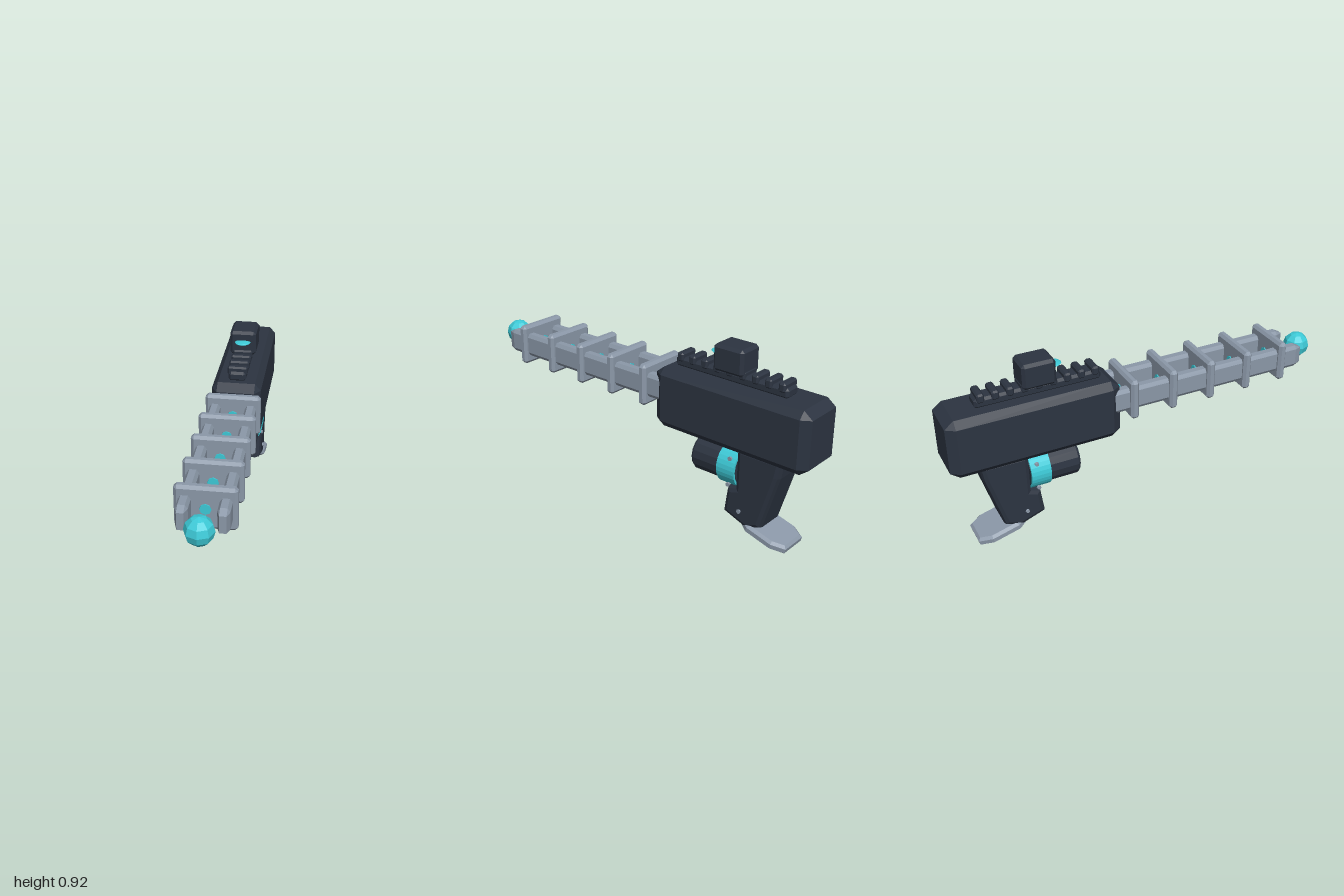
import * as THREE from 'three';
import { ConvexGeometry } from 'three/addons/geometries/ConvexGeometry.js';

const material = (name, color) => Object.assign(new THREE.MeshStandardMaterial({ color }), { name });

// Faceted normals for any geometry
function faceted(geometry) {
  const g = geometry.index ? geometry.toNonIndexed() : geometry;
  g.computeVertexNormals();
  return g;
}

// Box with every edge and corner cut off by cx, cy, cz
function chamferBox(w, h, d, cx, cy = cx, cz = cx) {
  const points = [];
  for (const i of [-1, 1]) for (const j of [-1, 1]) for (const k of [-1, 1]) {
    const x = w / 2, y = h / 2, z = d / 2;
    points.push(
      new THREE.Vector3(i * x, j * (y - cy), k * (z - cz)),
      new THREE.Vector3(i * (x - cx), j * y, k * (z - cz)),
      new THREE.Vector3(i * (x - cx), j * (y - cy), k * z));
  }
  return new ConvexGeometry(points);
}

export function createModel() {
  const group = new THREE.Group();
  group.name = 'railBlaster';
  const dark = material('darkCasing', 0x2c3441);
  const grey = material('steelGrey', 0x8b98a8);
  const teal = material('tealGlow', 0x3dcad7);

  function add(name, geometry, mat, x = 0, y = 0, z = 0) {
    const mesh = new THREE.Mesh(geometry, mat);
    mesh.name = name;
    mesh.position.set(x, y, z);
    group.add(mesh);
    return mesh;
  }

  // Main body
  add('body', chamferBox(0.25, 0.305, 0.85, 0.03, 0.035, 0.045), dark, 0, 0.603, -0.575);

  // Twin barrel rails
  const railGeometry = chamferBox(0.055, 0.12, 1.13, 0.012, 0.018, 0.035);
  for (const side of [-1, 1]) add('barrelRail', railGeometry, grey, side * 0.0885, 0.64, 0.32);

  // Cross plates with glowing cores
  const plateGeometry = chamferBox(0.274, 0.208, 0.044, 0.014, 0.014, 0.012);
  const coreGeometry = faceted(new THREE.CylinderGeometry(0.026, 0.026, 0.054, 8).rotateX(Math.PI / 2));
  for (let i = 0; i < 5; i++) {
    const z = 0.757 - i * 0.21;
    add('crossPlate', plateGeometry, grey, 0, 0.64, z);
    add('plateCore', coreGeometry, teal, 0, 0.64, z);
  }

  // Energy ball at the muzzle
  add('muzzleBall', faceted(new THREE.SphereGeometry(0.067, 8, 6)), teal, 0, 0.64, 0.934);

  // Toothed top rail
  add('topRail', chamferBox(0.088, 0.05, 0.62, 0.012), dark, 0, 0.776, -0.53);
  const toothGeometry = chamferBox(0.102, 0.045, 0.036, 0.008);
  for (let i = 0; i < 9; i++) add('railTooth', toothGeometry, dark, 0, 0.802, -0.25 - i * 0.07);

  // Sight box and its pointed lens
  add('sight', chamferBox(0.136, 0.128, 0.165, 0.014), dark, 0, 0.861, -0.533);
  const lens = faceted(new THREE.SphereGeometry(1, 12, 6).scale(0.042, 0.009, 0.05));
  add('sightLens', lens, teal, 0, 0.871, -0.452);

  // Drum under the body
  const drumProfile = [[0, -0.14], [0.093, -0.14], [0.093, 0.108], [0.085, 0.12], [0, 0.12]]
    .map(([r, h]) => new THREE.Vector2(r, h));
  add('drum', faceted(new THREE.LatheGeometry(drumProfile, 16).rotateX(Math.PI / 2)), dark, 0, 0.338, -0.48);
  add('drumMount', new THREE.BoxGeometry(0.05, 0.07, 0.1), dark, 0, 0.435, -0.57);

  // Split collar around the drum, open at the top
  const collar = new THREE.Shape();
  const gap = 0.28, up = Math.PI / 2;
  collar.absarc(0, 0, 0.103, up + gap, up - gap + 2 * Math.PI, false);
  collar.absarc(0, 0, 0.088, up - gap + 2 * Math.PI, up + gap, true);
  const collarGeometry = new THREE.ExtrudeGeometry(collar, { depth: 0.1, bevelEnabled: false, curveSegments: 14 });
  add('collar', faceted(collarGeometry), teal, 0, 0.338, -0.618);
  for (const side of [-1, 1])
    add('collarTab', new THREE.BoxGeometry(0.014, 0.035, 0.1), teal, side * 0.034, 0.445, -0.568);

  // Grip, drawn as a side outline of [z, y]
  const gripOutline = [[-0.62, 0.47], [-0.618, 0.262], [-0.572, 0.248], [-0.555, 0.115], [-0.69, 0.065],
    [-0.765, 0.095], [-0.848, 0.38], [-0.862, 0.47]];
  const gripShape = new THREE.Shape(gripOutline.map(([z, y]) => new THREE.Vector2(-z, y)));
  const gripGeometry = new THREE.ExtrudeGeometry(gripShape, {
    depth: 0.126, bevelThickness: 0.03, bevelSize: 0.024, bevelOffset: -0.024, bevelSegments: 2,
  }).translate(0, 0, -0.063).rotateY(up);
  add('grip', faceted(gripGeometry), dark);

  // Screws on both sides of the grip and collar
  const screwGeometry = faceted(new THREE.CylinderGeometry(0.009, 0.011, 0.012, 8).rotateZ(up));
  for (const side of [-1, 1]) {
    add('screw', screwGeometry, grey, side * 0.087, 0.4, -0.585);
    add('screw', screwGeometry, grey, side * 0.095, 0.27, -0.585);
    add('screw', screwGeometry, grey, side * 0.095, 0.15, -0.652);
  }

  // Angled foot plate below the grip, an octagon with bevelled rims
  const footShape = new THREE.Shape([[-0.07, -0.13], [0.07, -0.13], [0.103, -0.08], [0.103, 0.06],
    [0.07, 0.125], [-0.07, 0.125], [-0.103, 0.06], [-0.103, -0.08]].map(([x, y]) => new THREE.Vector2(x, y)));
  const footGeometry = new THREE.ExtrudeGeometry(footShape, {
    depth: 0.022, bevelThickness: 0.012, bevelSize: 0.014, bevelOffset: -0.014, bevelSegments: 1,
  }).translate(0, 0, -0.011).rotateX(-up);
  const foot = add('footPlate', faceted(footGeometry), grey, 0, 0.055, -0.778);
  foot.rotation.x = -0.26;

  return group;
}
